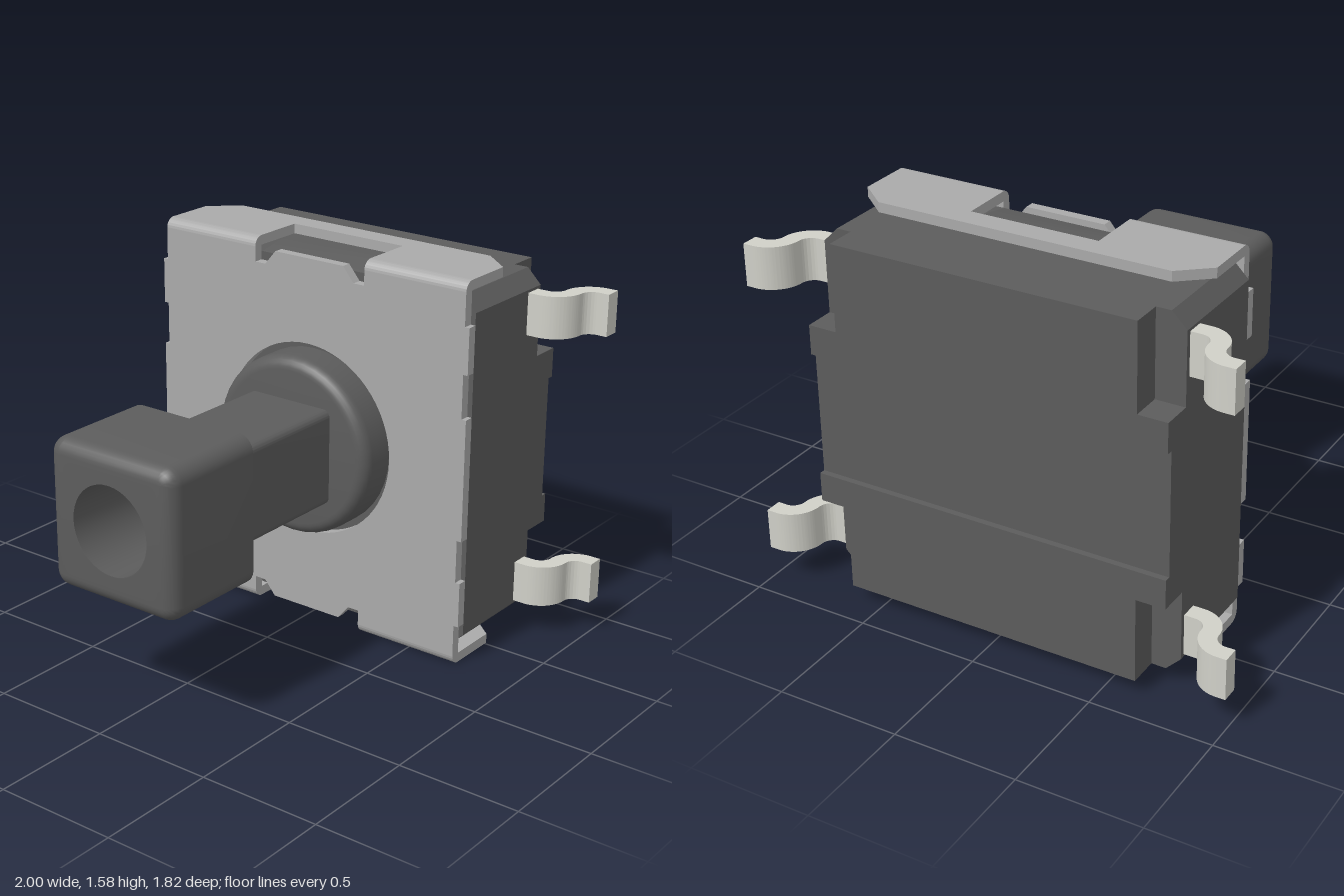
import * as THREE from 'three';
import { toCreasedNormals } from 'three/addons/utils/BufferGeometryUtils.js';

const plastic = new THREE.MeshStandardMaterial({ color: 0x5c5c5c });
const steel = new THREE.MeshStandardMaterial({ color: 0xaaaaaa });
const tin = new THREE.MeshStandardMaterial({ color: 0xd0d0c8 });
const CENTER_Y = 0.787;

function part(parent, name, geometry, material) {
  const mesh = new THREE.Mesh(toCreasedNormals(geometry, 0.6), material);
  mesh.name = name;
  parent.add(mesh);
  return mesh;
}

const polygon = (pts) => new THREE.Shape(pts.map(([x, y]) => new THREE.Vector2(x, y)));
const mirrorX = (pts) => [...pts, ...pts.map(([x, y]) => [-x, y]).reverse()];
const mirrorXY = (pts) => {
  const half = mirrorX(pts);
  return [...half, ...half.map(([x, y]) => [-x, -y])];
};
const extrude = (shape, depth) =>
  new THREE.ExtrudeGeometry(shape, { depth, bevelEnabled: false, curveSegments: 32 });

// Slab with its outline in x/y, between two z values
const slab = (shape, z0, z1) => extrude(shape, z1 - z0).translate(0, 0, z0);
// Outline in (x, -z), raised along y
const sheet = (shape, y0, height) => extrude(shape, height).rotateX(-Math.PI / 2).translate(0, y0, 0);
// Outline in (-z, y), swept along x
const bar = (shape, x0, width) => extrude(shape, width).rotateY(Math.PI / 2).translate(x0, 0, 0);

// Rounded square cross-section: half size h, corner radius r
const CORNER = 10;
function ring(h, r, z) {
  const pts = [];
  for (let k = 0; k < 4; k++) {
    const sx = k === 0 || k === 3 ? 1 : -1, sy = k < 2 ? 1 : -1;
    for (let i = 0; i <= CORNER; i++) {
      const a = (k + i / CORNER) * Math.PI / 2;
      pts.push([sx * (h - r) + r * Math.cos(a), sy * (h - r) + r * Math.sin(a), z]);
    }
  }
  return pts;
}
const circle = (r, z) => ring(r, r, z);
const point = (z) => ring(0, 0, z);

// Skin over a row of cross-sections
function loft(rings) {
  const n = rings[0].length, index = [];
  for (let j = 0; j < rings.length - 1; j++) {
    for (let i = 0; i < n; i++) {
      const a = j * n + i, b = j * n + (i + 1) % n;
      index.push(a, b, b + n, a, b + n, a + n);
    }
  }
  const g = new THREE.BufferGeometry();
  g.setAttribute('position', new THREE.Float32BufferAttribute(rings.flat(2), 3));
  g.setIndex(index);
  return g;
}

// Rings of a block whose front edge is rounded by f
function roundedBlock(h, r, z0, z1, f) {
  const rings = [point(z0), ring(h, r, z0)];
  for (let i = 0; i <= 6; i++) {
    const a = (i / 6) * Math.PI / 2, inset = f * (1 - Math.cos(a));
    rings.push(ring(h - inset, r - inset, z1 - f + f * Math.sin(a)));
  }
  return rings;
}

// S-bent terminal outline in (x, -z)
function leadShape() {
  const s = new THREE.Shape(), q = Math.PI / 2;
  s.moveTo(0.7, 0.67);
  s.lineTo(0.79, 0.67);
  s.absarc(0.79, 0.79, 0.12, -q, 0, false);
  s.absarc(0.96, 0.79, 0.05, Math.PI, q, true);
  s.lineTo(1, 0.84);
  s.lineTo(1, 0.91);
  s.lineTo(0.96, 0.91);
  s.absarc(0.96, 0.79, 0.12, q, Math.PI, false);
  s.absarc(0.79, 0.79, 0.05, 0, -q, true);
  s.lineTo(0.7, 0.74);
  return s;
}

export function createModel() {
  const model = new THREE.Group();
  model.name = 'pushButtonSwitch';
  const body = new THREE.Group();
  body.name = 'switchBody';
  body.position.y = CENTER_Y;
  model.add(body);

  // Housing: chamfered block with notched rear corners
  part(body, 'housing', slab(polygon(mirrorXY([[0.745, 0.663], [0.685, 0.723]])), -0.76, -0.3), plastic);
  part(body, 'housingRear', slab(polygon(mirrorXY([[0.745, 0.373], [0.625, 0.373], [0.625, 0.723]])), -0.86, -0.76), plastic);

  // Cover plate with round opening, edge recesses and small tabs
  const plate = polygon(mirrorXY([
    [0.745, 0.25], [0.725, 0.25], [0.725, 0.428], [0.745, 0.428], [0.745, 0.615], [0.725, 0.615],
    [0.725, 0.748], [0.265, 0.748], [0.265, 0.688], [0.215, 0.688], [0.165, 0.748],
  ]));
  plate.holes.push(new THREE.Path().absarc(0, 0, 0.4, 0, Math.PI * 2, true));
  part(body, 'coverPlate', slab(plate, -0.3, -0.26), steel);

  // Parts repeated at the top and, turned half round, at the bottom
  const flap = polygon([
    [-0.725, 0.3], [-0.265, 0.3], [-0.265, 0.515], [0.265, 0.515], [0.265, 0.3],
    [0.725, 0.3], [0.725, 0.51], [0.605, 0.61], [-0.605, 0.61], [-0.725, 0.51],
  ]);
  const bend = new THREE.Shape();
  bend.moveTo(0.3, 0.748);
  bend.lineTo(0.3, 0.788);
  bend.absarc(0.3, 0.748, 0.04, Math.PI / 2, Math.PI, false);
  const catchShape = polygon([[0.3, 0.7], [0.515, 0.7], [0.515, 0.745], [0.405, 0.745], [0.3, 0.723]]);
  const foot = polygon(mirrorX([[0.745, 0.253], [0.745, 0.373], [0.625, 0.373], [0.625, 0.723]]));
  for (const [side, turn] of [['upper', 0], ['lower', Math.PI]]) {
    const half = new THREE.Group();
    half.name = side + 'Half';
    half.rotation.z = turn;
    body.add(half);
    part(half, 'coverFlap', sheet(flap, 0.748, 0.04), steel);
    for (const x of [-0.725, 0.265]) part(half, 'coverBend', bar(bend, x, 0.46), steel);
    part(half, 'housingCatch', bar(catchShape, -0.26, 0.52), plastic);
    part(half, 'rearPad', slab(foot, -0.885, -0.86), plastic);
    for (const y of [-0.567, 0.567]) part(half, 'terminal', sheet(leadShape(), y - 0.085, 0.17), tin);
  }

  // Plunger: round collar, square stem, hollow square cap
  part(body, 'collar', loft([...roundedBlock(0.372, 0.372, -0.3, -0.14, 0.05), point(-0.14)]), plastic);
  part(body, 'stem', loft([point(-0.2), ring(0.198, 0.03, -0.2), ring(0.198, 0.03, 0.47), point(0.47)]), plastic);
  part(body, 'cap', loft([
    ...roundedBlock(0.298, 0.065, 0.46, 0.913, 0.06),
    circle(0.177, 0.913), circle(0.177, 0.56), point(0.56),
  ]), plastic);

  return model;
}
